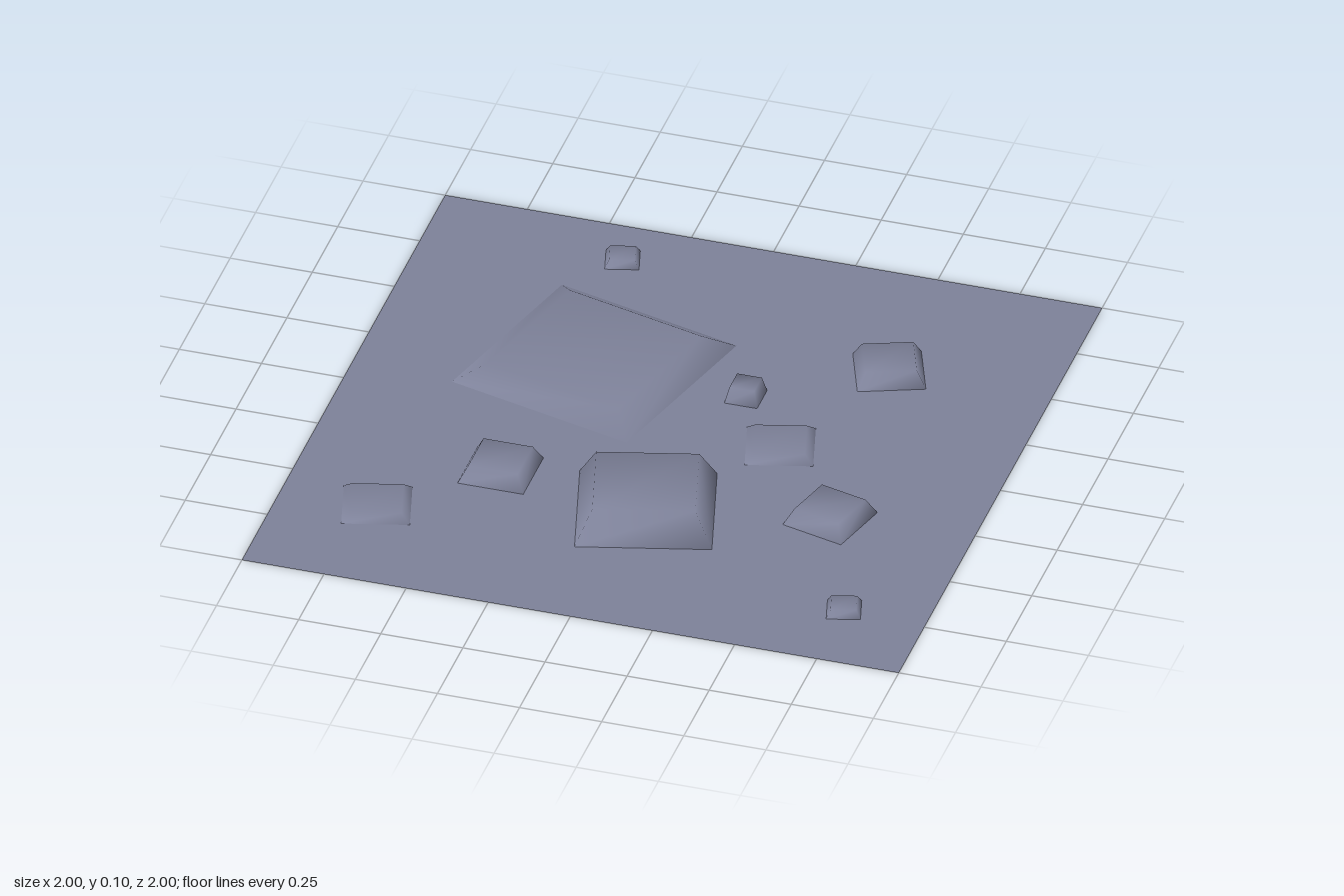
import * as THREE from 'three';
import { mergeVertices } from 'three/addons/utils/BufferGeometryUtils.js';

const stone = new THREE.MeshStandardMaterial({ color: 0x7f839b, side: THREE.DoubleSide });
stone.name = 'grey blue stone';

// Smooth-shaded block without a bottom, tapering to three quarters at the top
function moundGeometry(side, height) {
  const box = new THREE.BoxGeometry(side, height, side);
  box.translate(0, height / 2, 0);
  const p = box.attributes.position;
  for (let i = 0; i < p.count; i++) {
    if (p.getY(i) > height / 2) p.setXYZ(i, p.getX(i) * 0.75, height, p.getZ(i) * 0.75);
  }
  // drop the bottom face (fourth group of the box)
  const index = Array.from(box.index.array);
  index.splice(18, 6);
  box.setIndex(index);
  box.clearGroups();
  box.deleteAttribute('normal');
  box.deleteAttribute('uv');
  const smooth = mergeVertices(box);
  smooth.computeVertexNormals();
  return smooth;
}

export function createModel() {
  const group = new THREE.Group();
  group.name = 'rockyGround';

  // Flat square ground
  const ground = new THREE.Mesh(new THREE.PlaneGeometry(2, 2).rotateX(-Math.PI / 2), stone);
  ground.name = 'ground';
  group.add(ground);

  // Rocks: name, x, z, side, height, turn in degrees
  const rocks = [
    ['largeRock', 0.045, 0.403, 0.4, 0.1, 15],
    ['broadMound', -0.325, -0.285, 0.6, 0.05, -15],
    ['mediumRock', -0.42, 0.33, 0.2, 0.05, 0],
    ['mediumRock', 0.57, 0.287, 0.2, 0.05, -15],
    ['mediumRock', 0.507, -0.5, 0.2, 0.05, 21],
    ['lowRock', 0.32, -0.03, 0.2, 0.025, 15],
    ['lowRock', -0.71, 0.61, 0.2, 0.025, 15],
    ['smallRock', 0.147, -0.25, 0.1, 0.05, 0],
    ['pebble', -0.407, -0.828, 0.1, 0.025, 15],
    ['pebble', 0.75, 0.732, 0.1, 0.025, 15],
  ];
  for (const [name, x, z, side, height, turn] of rocks) {
    const rock = new THREE.Mesh(moundGeometry(side, height), stone);
    rock.name = name;
    rock.position.set(x, 0, z);
    rock.rotation.y = THREE.MathUtils.degToRad(turn);
    group.add(rock);
  }
  return group;
}
